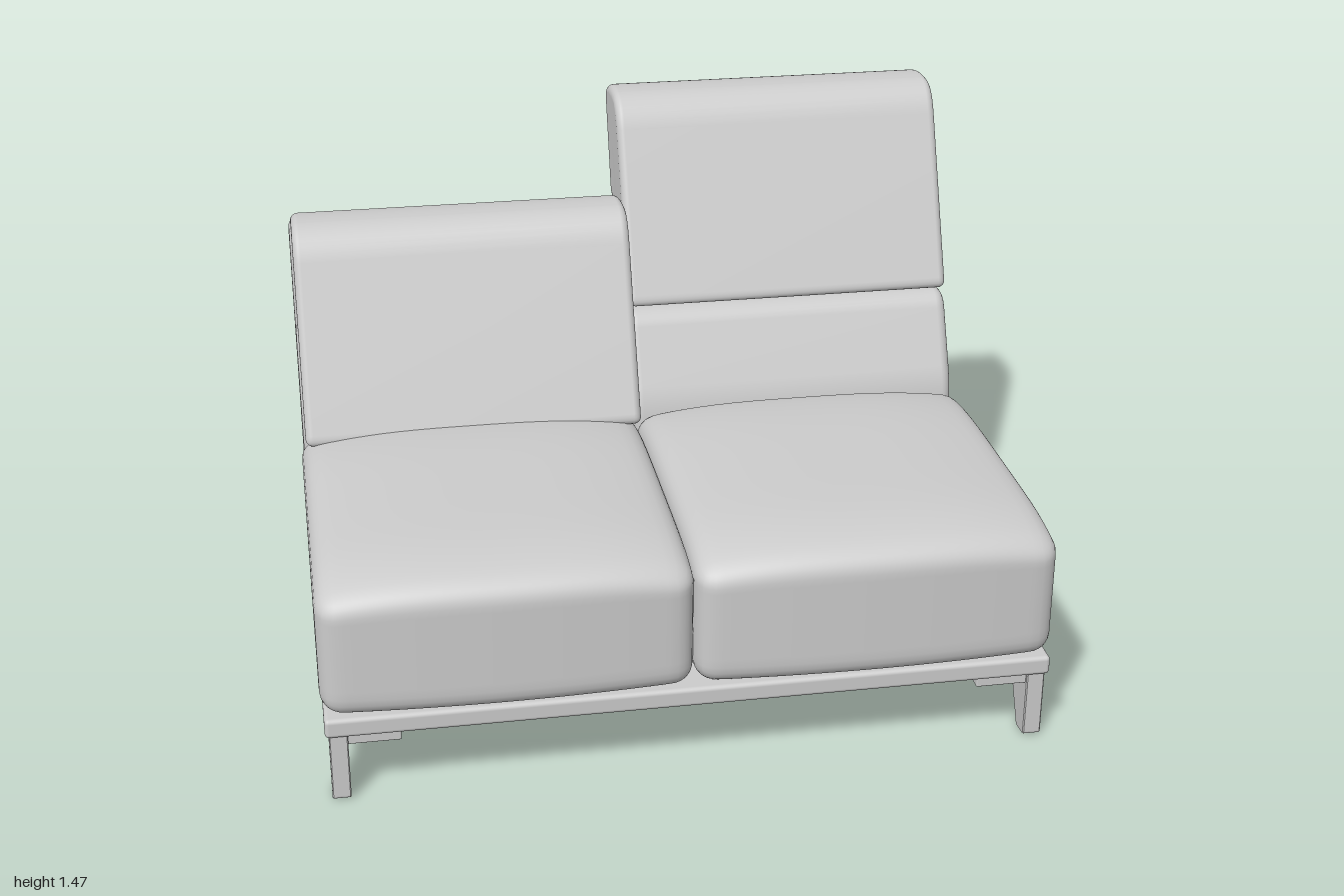
import * as THREE from 'three';
import { mergeVertices } from 'three/addons/utils/BufferGeometryUtils.js';
import { RoundedBoxGeometry } from 'three/addons/geometries/RoundedBoxGeometry.js';

const material = new THREE.MeshStandardMaterial({ color: 0xcccccc });

function smooth(geo) {
  geo.deleteAttribute('uv');
  geo.deleteAttribute('normal');
  const merged = mergeVertices(geo, 1e-4);
  merged.computeVertexNormals();
  return merged;
}

function add(parent, name, geo, x = 0, y = 0, z = 0) {
  const mesh = new THREE.Mesh(geo, material);
  mesh.name = name;
  mesh.position.set(x, y, z);
  parent.add(mesh);
  return mesh;
}

// Closed side outline from [z, y, cornerRadius] points
function roundedShape(points) {
  const shape = new THREE.Shape();
  points.forEach(([u, v, r], i) => {
    const corner = new THREE.Vector2(u, v);
    const toward = (p) => {
      const d = new THREE.Vector2(p[0], p[1]).sub(corner);
      return d.setLength(Math.min(r, d.length() * 0.48)).add(corner);
    };
    const a = toward(points.at(i - 1));
    const b = toward(points[(i + 1) % points.length]);
    if (i === 0) shape.moveTo(a.x, a.y);
    else shape.lineTo(a.x, a.y);
    shape.quadraticCurveTo(u, v, b.x, b.y);
  });
  shape.closePath();
  return shape;
}

// Side outline swept along x, centred on x = 0, with soft ends
function sweep(points, width, bevel, segments = 5) {
  const geo = new THREE.ExtrudeGeometry(roundedShape(points), {
    depth: width - 2 * bevel, curveSegments: 7, steps: 1,
    bevelEnabled: true, bevelThickness: bevel, bevelSize: bevel,
    bevelOffset: -bevel, bevelSegments: segments,
  });
  geo.translate(0, 0, -(width / 2 - bevel));
  geo.rotateY(-Math.PI / 2);
  return geo;
}

// Rounded block with a crowned top and a slightly bulging front
function seatGeometry(w, h, d, r) {
  const geo = new THREE.BoxGeometry(2, 2, 2, 28, 20, 28);
  const pos = geo.attributes.position;
  const half = new THREE.Vector3(w / 2, h / 2, d / 2);
  const inner = half.clone().subScalar(r);
  const p = new THREE.Vector3(), core = new THREE.Vector3();
  const ease = (t) => Math.sin(t * Math.PI / 2);
  for (let i = 0; i < pos.count; i++) {
    p.set(ease(pos.getX(i)), ease(pos.getY(i)), ease(pos.getZ(i))).multiply(half);
    core.copy(p).clamp(inner.clone().negate(), inner);
    p.sub(core).setLength(r).add(core);
    const sx = Math.abs(p.x / half.x), sz = p.z / half.z;
    const t = Math.max(0, p.y / half.y);
    const drop = 0.035 * sx ** 3 + (sz > 0 ? 0.05 * sz ** 5 : 0.035 * sz ** 4);
    p.y -= t * drop;
    if (sz > 0) p.z += 0.025 * sz * (1 - sx * sx);
    pos.setXYZ(i, p.x, p.y, p.z);
  }
  return smooth(geo);
}

export function createModel() {
  const sofa = new THREE.Group();
  sofa.name = 'sofa';

  // Platform under the upholstery
  add(sofa, 'base', new RoundedBoxGeometry(1.97, 0.055, 1.52, 3, 0.012), 0, 0.2275, 0.03);

  // One backrest body across the full width
  const backrest = [
    [-0.455, 0.262, 0.05], [-0.437, 0.53, 0.2], [-0.555, 1.115, 0.05],
    [-0.728, 1.115, 0.04], [-0.728, 0.262, 0.04],
  ];
  add(sofa, 'backrest', smooth(sweep(backrest, 1.97, 0.03)));

  // Lower back cushions and seats, one per side
  const lumbar = [
    [-0.225, 0.258, 0.035], [-0.222, 0.61, 0.07], [-0.35, 0.88, 0.05],
    [-0.488, 0.875, 0.04], [-0.45, 0.6, 0.15], [-0.447, 0.258, 0.035],
  ];
  const lumbarGeo = smooth(sweep(lumbar, 0.985, 0.03));
  const seatGeo = seatGeometry(0.992, 0.41, 1.01, 0.06);
  for (const s of [1, -1]) {
    const side = s > 0 ? 'left' : 'right';
    add(sofa, side + 'LowerBackCushion', lumbarGeo, s * 0.4925);
    add(sofa, side + 'Seat', seatGeo, s * 0.496, 0.46, 0.285);
  }

  // Stepped headrest: raised on the left, slid forward and down on the right
  const headrest = [
    [-0.345, 0.885, 0.04], [-0.595, 1.462, 0.09], [-0.72, 1.473, 0.07],
    [-0.825, 1.445, 0.06], [-0.715, 1.118, 0.04], [-0.58, 1.122, 0.03],
    [-0.475, 0.885, 0.04],
  ];
  const headGeo = smooth(sweep(headrest, 0.982, 0.022));
  add(sofa, 'raisedHeadrest', headGeo, 0.496);
  add(sofa, 'loweredHeadrest', headGeo, -0.488, -0.27, 0.25);

  // Corner legs: tapered blade plus a mounting wing
  const blade = [
    [0, 0.2, 0.004], [0, 0.005, 0.01], [-0.06, 0.0, 0.012],
    [-0.135, 0.148, 0.015], [-0.195, 0.152, 0.006], [-0.195, 0.2, 0.004],
  ];
  const bladeGeo = sweep(blade, 0.05, 0.003, 1);
  const wingGeo = new RoundedBoxGeometry(0.15, 0.035, 0.05, 2, 0.004);
  for (const sx of [1, -1]) {
    for (const sz of [1, -1]) {
      const leg = new THREE.Group();
      leg.name = (sz > 0 ? 'front' : 'back') + (sx > 0 ? 'Left' : 'Right') + 'Leg';
      add(leg, 'legBlade', bladeGeo, -0.025);
      add(leg, 'legWing', wingGeo, -0.115, 0.1835, -0.035);
      leg.position.set(sx * 0.975, 0, sz > 0 ? 0.778 : -0.722);
      leg.scale.set(sx, 1, sz);
      sofa.add(leg);
    }
  }
  return sofa;
}
